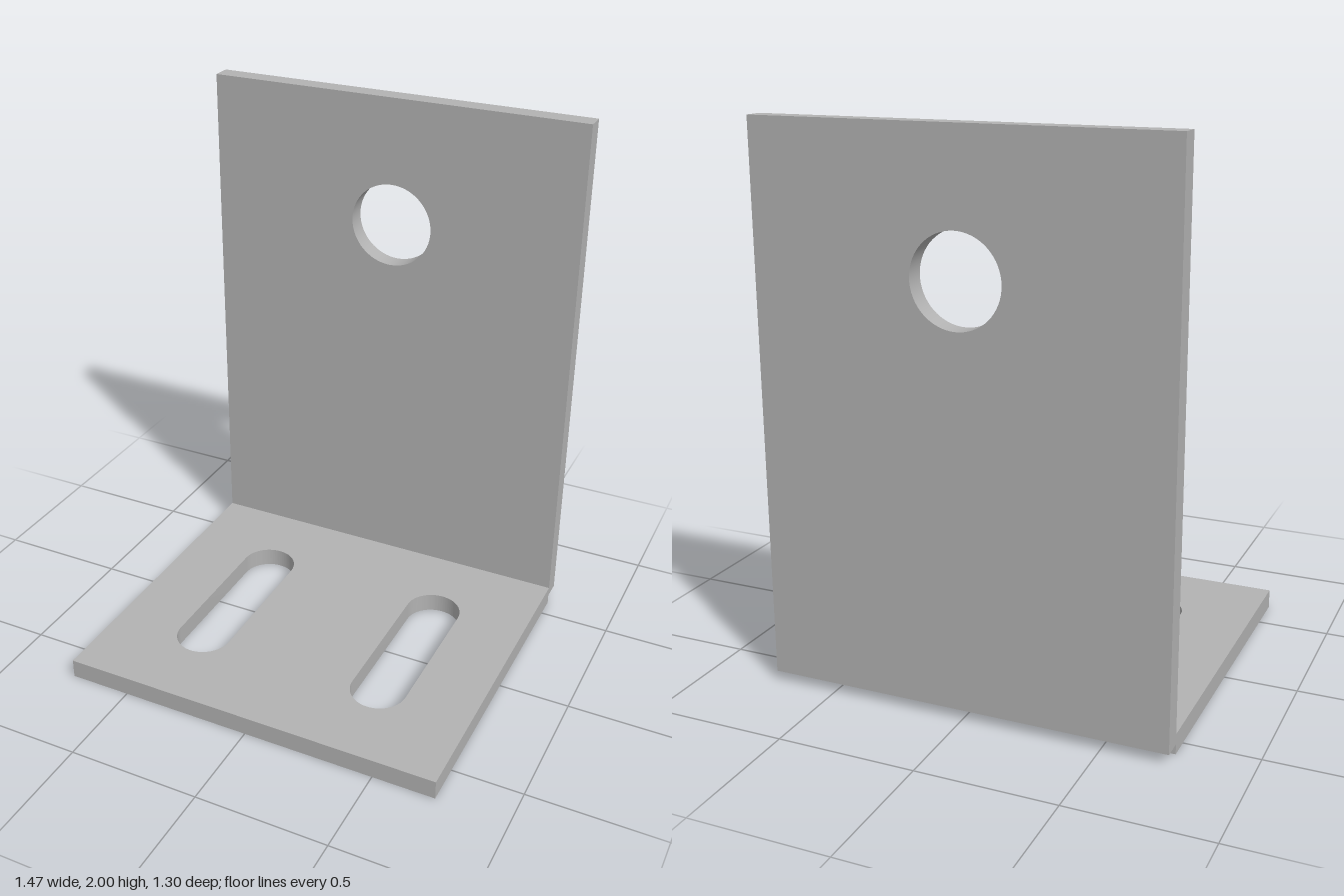
import * as THREE from 'three';
import { toCreasedNormals } from 'three/addons/utils/BufferGeometryUtils.js';

const HALF_WIDTH = 0.735;
const THICKNESS = 0.073;
const BACK = -0.651;
const INNER = BACK + THICKNESS; // inner face of the upright plate
const FRONT = 0.651;

// Rectangular plate outline spanning the full width
function plateShape(low, high) {
  return new THREE.Shape([
    new THREE.Vector2(-HALF_WIDTH, low),
    new THREE.Vector2(HALF_WIDTH, low),
    new THREE.Vector2(HALF_WIDTH, high),
    new THREE.Vector2(-HALF_WIDTH, high),
  ]);
}

// Rounded slot between two arc centres
function slotPath(x, low, high, radius) {
  const path = new THREE.Path();
  path.absarc(x, high, radius, 0, Math.PI, false);
  path.absarc(x, low, radius, Math.PI, Math.PI * 2, false);
  path.closePath();
  return path;
}

function plateMesh(name, shape, material) {
  const geometry = new THREE.ExtrudeGeometry(shape, {
    depth: THICKNESS, bevelEnabled: false, curveSegments: 32,
  });
  const mesh = new THREE.Mesh(toCreasedNormals(geometry, Math.PI / 6), material);
  mesh.name = name;
  return mesh;
}

export function createModel() {
  const group = new THREE.Group();
  group.name = 'angleBracket';
  const steel = new THREE.MeshStandardMaterial({ color: 0xb2b2b2 });
  steel.name = 'grey steel';

  // Upright plate with a round hole, set slightly above the ground
  const upright = plateShape(THICKNESS / 2, 2);
  const hole = new THREE.Path();
  hole.absarc(0, 1.512, 0.16, 0, Math.PI * 2, false);
  upright.holes.push(hole);
  const uprightPlate = plateMesh('uprightPlate', upright, steel);
  uprightPlate.position.z = BACK;
  group.add(uprightPlate);

  // Base plate with two mounting slots, drawn in x-z and laid flat
  const base = plateShape(INNER, FRONT);
  for (const side of [-1, 1]) {
    base.holes.push(slotPath(side * 0.368, -0.229, 0.298, 0.106));
  }
  const basePlate = plateMesh('basePlate', base, steel);
  basePlate.rotation.x = Math.PI / 2;
  basePlate.position.y = THICKNESS;
  group.add(basePlate);

  return group;
}
